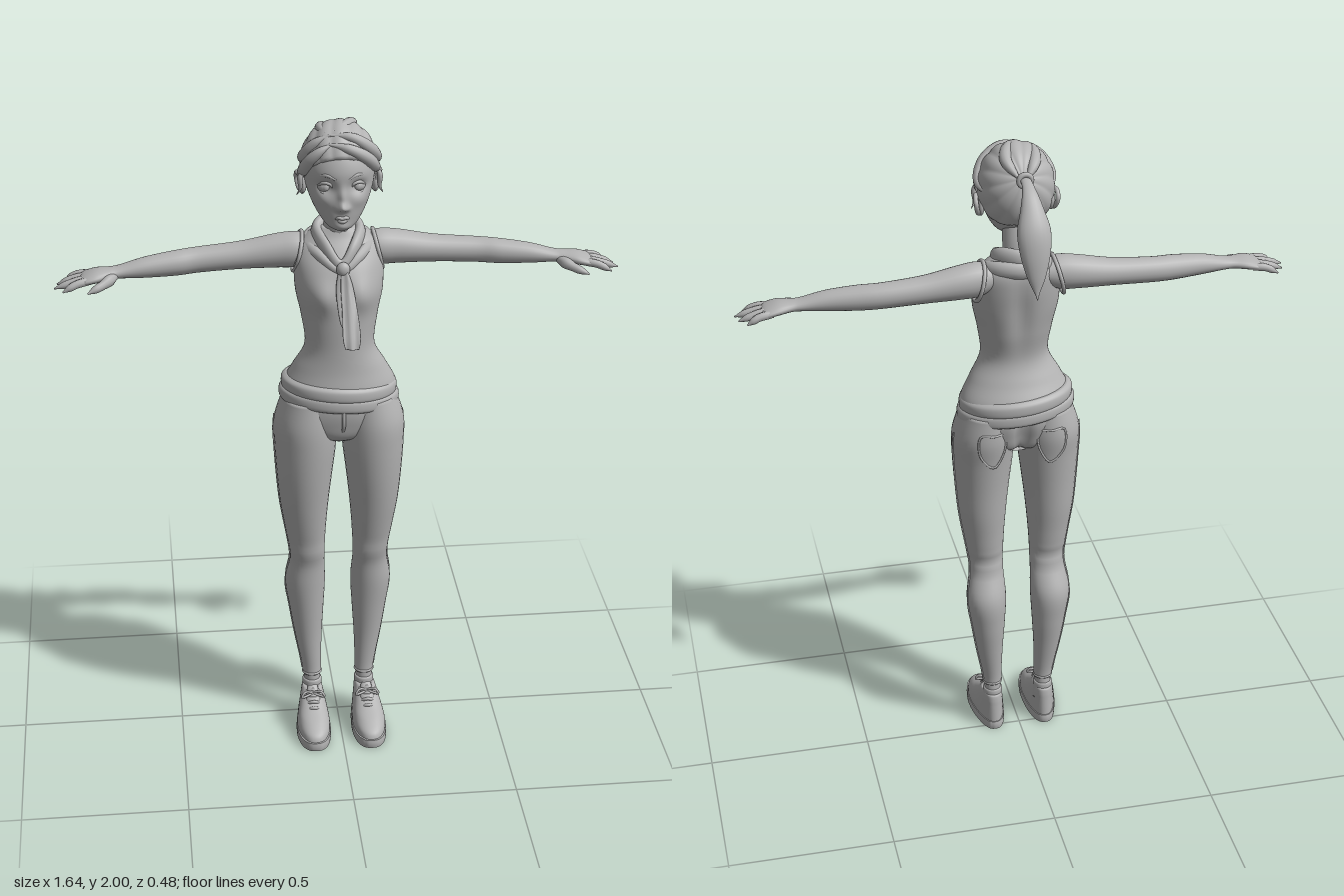
import * as THREE from 'three';
import { mergeVertices, toCreasedNormals } from 'three/addons/utils/BufferGeometryUtils.js';

const V = (x, y, z) => new THREE.Vector3(x, y, z);
const gauss = (a, b = 0) => Math.exp(-a * a - b * b);
const clay = new THREE.MeshStandardMaterial({ color: 0xb3b3b3 });
clay.name = 'clay grey';

// Smooth value of a short list at t in 0..1
function spline(list, t) {
  const n = list.length - 1, i = Math.min(Math.floor(t * n), n - 1), f = t * n - i;
  const p = k => list[Math.max(0, Math.min(n, k))];
  const a = p(i - 1), b = p(i), c = p(i + 1), d = p(i + 2);
  return b + 0.5 * f * (c - a + f * (2 * a - 5 * b + 4 * c - d + f * (3 * (b - c) + d - a)));
}
const section = (rows, t) => rows[0].map((_, k) => spline(rows.map(r => r[k]), t));

// Point on a loft; rows are [position, centreA, centreB, radiusA, radiusB]
function onLoft(rows, t, angle, axis = 'y', power = 2, grow = 0) {
  const [p, a, b, ra, rb] = section(rows, t), e = 2 / power;
  const c = Math.cos(angle), s = Math.sin(angle);
  const u = a + (Math.max(ra, 0.001) + grow) * Math.sign(c) * Math.abs(c) ** e;
  const w = b + (Math.max(rb, 0.001) + grow) * Math.sign(s) * Math.abs(s) ** e;
  return axis === 'x' ? V(p, u, w) : V(u, p, w);
}

// Closed skin over elliptical sections, optionally moved by a rule
function loft(rows, { axis = 'y', steps = 40, sides = 32, power = 2, rule } = {}) {
  const pos = [], idx = [];
  for (let i = 0; i <= steps; i++) for (let j = 0; j < sides; j++) {
    const p = onLoft(rows, i / steps, j / sides * Math.PI * 2, axis, power);
    if (rule) rule(p);
    pos.push(p.x, p.y, p.z);
  }
  const flip = (axis === 'y') === (rows.at(-1)[0] > rows[0][0]);
  const face = (a, b, c) => flip ? idx.push(a, c, b) : idx.push(a, b, c);
  for (let i = 0; i < steps; i++) for (let j = 0; j < sides; j++) {
    const a = i * sides + j, b = i * sides + (j + 1) % sides;
    face(a, b, b + sides);
    face(a, b + sides, a + sides);
  }
  for (let j = 1; j < sides - 1; j++) {
    const e = steps * sides;
    face(0, j + 1, j);
    face(e, e + j, e + j + 1);
  }
  const g = new THREE.BufferGeometry();
  g.setAttribute('position', new THREE.Float32BufferAttribute(pos, 3));
  g.setIndex(idx);
  g.computeVertexNormals();
  return g;
}

// Tube of varying thickness along a curve, optionally flattened
function strand(points, radii, flat = [1, 1, 1], closed = false, n = 32, m = 12) {
  const curve = new THREE.CatmullRomCurve3(points.map(p => V(...p)), closed);
  const g = new THREE.TubeGeometry(curve, n, 1, m, closed), at = g.attributes.position;
  for (let i = 0; i < at.count; i++) {
    const t = Math.floor(i / (m + 1)) / n, c = curve.getPointAt(t);
    const r = Math.max(spline(radii, t), 0.001);
    const o = V().fromBufferAttribute(at, i).sub(c).multiplyScalar(r).multiply(V(...flat)).add(c);
    at.setXYZ(i, o.x, o.y, o.z);
  }
  g.deleteAttribute('uv');
  g.deleteAttribute('normal');
  const out = mergeVertices(g, 1e-5);
  out.computeVertexNormals();
  return out;
}

function ball(x, y, z, rx, ry, rz) {
  return new THREE.SphereGeometry(1, 24, 16).scale(rx, ry, rz).translate(x, y, z);
}

function mirrored(source) {
  const g = mergeVertices(source.clone()).scale(-1, 1, 1);
  g.index.array.reverse();
  return g;
}

export function createModel() {
  const model = new THREE.Group();
  const add = (name, g) => {
    const m = new THREE.Mesh(g, clay);
    m.name = name;
    model.add(m);
  };
  const pair = (name, g) => {
    add(name + 'Left', g);
    add(name + 'Right', mirrored(g));
  };

  // Fitted top with bust and shoulder blades
  add('top', loft([
    [1.15, 0, .05, .172, .112], [1.2, 0, .05, .168, .112], [1.26, 0, .06, .138, .093],
    [1.33, 0, .07, .103, .08], [1.42, 0, .062, .112, .088], [1.5, 0, .052, .128, .092],
    [1.57, 0, .04, .13, .09], [1.62, 0, .025, .122, .075], [1.655, 0, .02, .09, .055],
    [1.68, 0, .02, .05, .045]], {
    sides: 56, steps: 60, rule: p => {
      const bust = gauss((Math.abs(p.x) - .06) / .045, (p.y - 1.505) / .05);
      if (p.z > .06) p.z += .022 * bust;
      if (p.z < 0) p.z += .012 * gauss(p.x / .03, (p.y - 1.5) / .12);
    } }));
  // Rolled double hem, sitting a little lower on one side
  for (const [name, y, r] of [['hemUpper', 1.195, .171], ['hemLower', 1.162, .178]])
    add(name, loft([[y - .024, 0, .05, r - .012, .112], [y - .014, 0, .05, r, .121],
      [y + .012, 0, .05, r, .12], [y + .024, 0, .05, r - .014, .108]],
    { steps: 14, sides: 56, rule: p => { p.y -= p.x * .07; } }));

  // Trousers
  add('trouserSeat', loft([[1.02, 0, .055, .05, .05], [1.045, 0, .053, .12, .085],
    [1.09, 0, .052, .18, .1], [1.14, 0, .05, .175, .108], [1.19, 0, .05, .16, .1]], {
    sides: 48, rule: p => { if (p.z < 0) p.z += .025 * gauss(p.x / .018); } }));
  const leg = [[1.16, .09, .05, .08, .1], [1.08, .1, .052, .095, .108], [1, .102, .056, .093, .101],
    [.9, .105, .056, .084, .09], [.8, .106, .052, .074, .077], [.7, .102, .048, .062, .06],
    [.6, .097, .04, .053, .044], [.5, .102, .016, .062, .06], [.4, .098, .013, .053, .053],
    [.3, .093, .016, .042, .041], [.2, .085, .022, .031, .03], [.16, .083, .024, .029, .028]];
  pair('trouserLeg', loft(leg, { steps: 66, rule: p => {
    const knee = gauss((p.y - .62) / .03);
    if (p.z > .04) p.z += .006 * knee;
    else p.z += .005 * knee * Math.sin(p.y * 260);
    p.x = Math.max(p.x, .002);
  } }));
  const line = (list, r) => strand(list.map(([t, a]) => onLoft(leg, t, a, 'y', 2, .001).toArray()),
    [r, r], [1, 1, 1], false, 40, 6);
  pair('sideSeam', line([...Array(16)].map((_, i) => [.08 + i * .058, -.15]), .003));
  pair('backPocket', line([[.06, 4.15], [.13, 4.2], [.185, 4.55], [.135, 5], [.06, 5.05], [.06, 4.6], [.06, 4.15]], .0035));
  pair('trouserCuff', strand([0, 1, 2, 3, 4, 5].map(i => [.083 + .027 * Math.cos(i * 1.047), .165,
    .024 + .026 * Math.sin(i * 1.047)]), [.005, .005], [1, 1, 1], true));
  add('fly', strand([[.004, 1.15, .163], [.004, 1.1, .16], [.002, 1.05, .13]], [.006, .006, .002]));

  // Ankles, socks and shoes
  pair('ankle', loft([[.06, .083, .024, .028, .03], [.12, .083, .023, .026, .028],
    [.19, .083, .024, .024, .024]]));
  pair('sock', loft([[.08, .083, .025, .033, .034], [.12, .083, .024, .031, .032],
    [.138, .083, .024, .03, .031], [.142, .083, .024, .025, .026]], { steps: 14 }));
  const foot = p => {
    const f = THREE.MathUtils.smoothstep(p.z, -.03, .15);
    p.x = .083 + .005 * f + (p.x - .083) * (.78 + .22 * f);
  };
  pair('sole', toCreasedNormals(loft([[0, .083, .107, .054, .131], [.014, .083, .107, .055, .133],
    [.028, .083, .107, .054, .131]], { power: 2.5, steps: 4, sides: 48, rule: foot }), .8));
  pair('shoe', loft([[.024, .083, .106, .052, .128], [.045, .083, .101, .052, .122],
    [.065, .083, .084, .049, .104], [.085, .083, .061, .045, .08], [.105, .083, .042, .041, .06],
    [.122, .083, .03, .036, .045], [.124, .083, .028, .03, .036]],
  { power: 2.3, sides: 40, rule: foot }));
  pair('shoeTongue', strand([[.087, .078, .13], [.086, .105, .095], [.085, .135, .068]],
    [.012, .022, .016], [1, .45, .45]));
  for (let i = 0; i < 4; i++) {
    const y = .087 + i * .012, z = .132 - i * .017;
    pair('lace' + (i + 1), strand([[.06, y - .012, z - .012], [.086, y + .004, z], [.112, y - .012, z - .012]],
      [.005, .005]));
  }
  for (const s of [-1, 1])
    pair(s < 0 ? 'bowInner' : 'bowOuter', strand([[.086, .122, .09], [.086 + s * .025, .13, .1],
      [.086 + s * .035, .115, .105], [.086, .12, .092]], [.004, .004]));

  // Arms, hands and armholes
  pair('arm', loft([[.07, 1.61, .01, .035, .04], [.12, 1.604, .01, .052, .048], [.18, 1.6, .006, .05, .047],
    [.28, 1.59, .005, .041, .041], [.4, 1.582, .008, .038, .037], [.47, 1.578, .018, .037, .037],
    [.56, 1.573, .03, .03, .032], [.63, 1.566, .037, .019, .027], [.66, 1.564, .041, .017, .03],
    [.7, 1.56, .045, .018, .044], [.735, 1.553, .045, .013, .045], [.75, 1.549, .045, .004, .03]],
  { axis: 'x', steps: 60, sides: 24 }));
  const fingers = [[.073, .795, .097], [.054, .82, .066], [.034, .812, .033], [.013, .79, .002]];
  fingers.forEach(([z, x, tip], i) => pair('finger' + (i + 1),
    strand([[.715, 1.555, z], [.755, 1.55, z + (tip - z) * .5], [x, 1.532, tip]],
      [.011, .012, .0115, .01, .002], [1, 1, 1], false, 16, 10)));
  pair('thumb', strand([[.645, 1.56, .055], [.68, 1.548, .092], [.725, 1.533, .118]],
    [.012, .017, .013, .011, .002], [1, 1, 1], false, 16, 10));
  pair('armhole', strand([0, 1, 2, 3, 4, 5, 6, 7].map(i => {
    const a = i * Math.PI / 4;
    return [.117 - .014 * Math.sin(a), 1.598 + .058 * Math.sin(a), .01 + .058 * Math.cos(a)];
  }), [.006, .006], [1, 1, 1], true));

  // Neck and knotted scarf
  add('neck', strand([[0, 1.58, .02], [0, 1.66, .025], [0, 1.77, .05]], [.055, .042, .042, .04], [1, 1, 1]));
  const ring = (w, back, y, f, fy) => [[0, y, back], [w * .75, y, back + .025], [w, y - .012, .025],
    [w * .6, (y + fy) / 2, (f + .03) / 2 + .02], [0, fy, f], [-w * .6, (y + fy) / 2, (f + .03) / 2 + .02],
    [-w, y - .012, .025], [-w * .75, y, back + .025]];
  add('scarfRoll', strand(ring(.062, -.026, 1.672, .118, 1.59), [.025, .024, .016, .024, .025],
    [.7, 1.2, .7], true, 64));
  add('scarfDrape', strand(ring(.088, -.04, 1.64, .125, 1.575), [.026, .023, .012, .023, .026],
    [.9, 1, .7], true, 64));
  add('scarfKnot', ball(.004, 1.585, .135, .02, .022, .016));
  add('scarfTail', loft([[1.59, .006, .137, .008, .008], [1.54, .012, .155, .018, .009],
    [1.47, .018, .19, .023, .008], [1.41, .02, .219, .026, .006], [1.378, .02, .234, .02, .003]],
  { sides: 20, rule: p => { p.z += .003 * Math.cos((p.x - .018) * 240); } }));
  add('scarfShortTail', loft([[1.59, 0, .135, .008, .006], [1.53, -.002, .154, .017, .006],
    [1.45, .004, .192, .016, .004], [1.42, .006, .206, .004, .003]], { sides: 16 }));

  // Head with sockets, nose, cheeks and chin
  add('head', loft([[1.7, 0, .115, .012, .014], [1.715, 0, .104, .04, .041], [1.745, 0, .085, .064, .066],
    [1.785, 0, .069, .084, .085], [1.83, 0, .055, .098, .1], [1.88, 0, .052, .102, .103],
    [1.925, 0, .05, .09, .088], [1.955, 0, .05, .062, .06], [1.972, 0, .05, .012, .012]], {
    sides: 96, steps: 80, rule: p => {
      if (p.z < .07) return;
      const x = Math.abs(p.x);
      p.z += .022 * gauss(x / .013, (p.y - 1.782) / .013) + .01 * gauss(x / .011, (p.y - 1.81) / .025)
        + .007 * gauss((x - .014) / .008, (p.y - 1.777) / .008)
        - .016 * gauss((x - .046) / .024, (p.y - 1.836) / .019)
        + .005 * gauss((x - .055) / .025, (p.y - 1.795) / .02)
        + .005 * gauss(x / .022, (p.y - 1.718) / .012);
    } }));
  pair('eye', ball(.046, 1.834, .114, .023, .02, .024));
  pair('iris', ball(.045, 1.834, .134, .009, .01, .005));
  pair('upperLid', strand([[.022, 1.83, .138], [.034, 1.846, .141], [.05, 1.849, .136], [.068, 1.837, .121]],
    [.002, .005, .005, .002]));
  pair('lowerLid', strand([[.023, 1.828, .138], [.036, 1.817, .138], [.053, 1.818, .131], [.067, 1.833, .12]],
    [.001, .003, .003, .001]));
  pair('eyebrow', strand([[.018, 1.862, .153], [.042, 1.873, .145], [.072, 1.866, .123]],
    [.003, .005, .002], [1, 1, .8]));
  add('upperLip', strand([[-.023, 1.742, .142], [-.009, 1.749, .153], [0, 1.747, .154], [.009, 1.749, .153],
    [.023, 1.742, .142]], [.001, .005, .005, .005, .001]));
  add('lowerLip', strand([[-.021, 1.741, .142], [0, 1.737, .149], [.021, 1.741, .142]], [.001, .007, .001]));
  pair('ear', ball(.103, 1.82, .045, .012, .033, .021).rotateZ(0));
  pair('earRim', strand([[.1, 1.79, .054], [.112, 1.8, .035], [.119, 1.83, .022], [.118, 1.85, .04],
    [.11, 1.842, .062], [.104, 1.825, .062]], [.006, .007, .007, .007, .006, .003]));

  // Swept-back hair: ridges gather at the tie
  const cap = new THREE.SphereGeometry(1, 120, 60), at = cap.attributes.position;
  const tilt = new THREE.Euler(-1.1, 0, 0);
  for (let i = 0; i < at.count; i++) {
    const d = V().fromBufferAttribute(at, i), around = Math.atan2(d.z, d.x);
    const ridge = 1 + .035 * Math.abs(Math.sin(around * 7 + d.y * .9)) * Math.sqrt(Math.max(0, 1 - d.y * d.y));
    d.applyEuler(tilt).multiply(V(.109, .128, .108)).multiplyScalar(ridge);
    const line = d.z + .045 > 0 ? 1.775 + .95 * (d.z + .045) : 1.77;
    d.multiplyScalar(.8 + .2 * THREE.MathUtils.smoothstep(d.y + 1.87 - line, -.01, .012));
    at.setXYZ(i, d.x, d.y + 1.87, d.z + .045);
  }
  cap.deleteAttribute('uv');
  cap.deleteAttribute('normal');
  const hair = mergeVertices(cap, 1e-5);
  hair.computeVertexNormals();
  add('hair', hair);
  const locks = [
    [[-.035, 1.955, .118], [.02, 1.945, .133], [.07, 1.915, .122], [.1, 1.875, .085], [.108, 1.85, .03]],
    [[-.03, 1.975, .1], [.03, 1.97, .108], [.08, 1.935, .095], [.107, 1.89, .05], [.09, 1.87, -.01]],
    [[-.025, 1.955, .118], [-.06, 1.935, .12], [-.09, 1.9, .102], [-.107, 1.86, .07], [-.108, 1.845, .03]],
    [[-.03, 1.975, .1], [-.07, 1.95, .09], [-.1, 1.905, .06], [-.1, 1.875, 0]],
    [[-.02, 1.983, .09], [.02, 1.988, .05], [.04, 1.97, -.01], [.01, 1.93, -.06]],
    [[-.04, 1.978, .09], [-.05, 1.975, .04], [-.04, 1.96, -.015], [-.01, 1.93, -.06]]];
  locks.forEach((p, i) => add('hairLock' + (i + 1), strand(p, [.004, .014, .018, .015, .003])));
  pair('sideCurl', strand([[.104, 1.875, .08], [.113, 1.85, .085], [.113, 1.815, .082], [.123, 1.795, .078]],
    [.004, .008, .006, .001]));

  // Ponytail
  add('hairTie', new THREE.TorusGeometry(.018, .008, 10, 24).translate(0, 1.935, -.078));
  add('ponytail', strand([[0, 1.925, -.05], [0, 1.937, -.09], [0, 1.915, -.14], [0, 1.82, -.193],
    [0, 1.64, -.236]], [.016, .017, .032, .048, .043, .026, .001], [1, .6, .6], false, 40, 20));
  return model;
}
